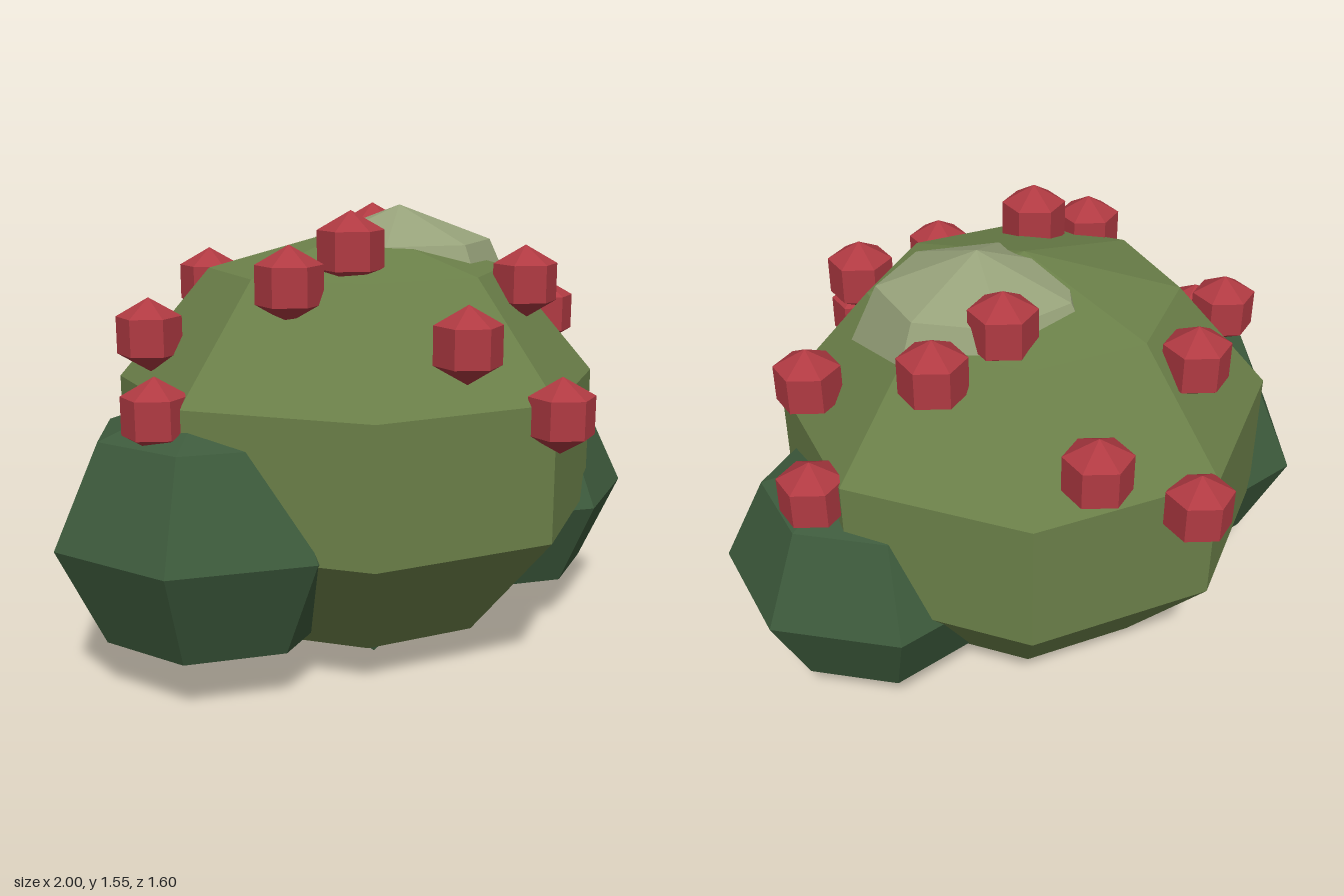
import * as THREE from 'three';

const material = (name, color) => {
  const m = new THREE.MeshStandardMaterial({ color });
  m.name = name;
  return m;
};

// Faceted version of a geometry: every face gets its own normal
function faceted(geometry) {
  const g = geometry.toNonIndexed();
  g.computeVertexNormals();
  return g;
}

// Low-poly ellipsoid with a corner pointing to +x
function blob(name, mat, sides, rings, radii, centre) {
  const g = new THREE.SphereGeometry(1, sides, rings);
  g.rotateY(Math.PI);
  g.scale(...radii);
  const mesh = new THREE.Mesh(faceted(g), mat);
  mesh.name = name;
  mesh.position.set(...centre);
  return mesh;
}

export function createModel() {
  const group = new THREE.Group();
  group.name = 'berryBush';

  const olive = material('olive leaves', 0x6b8049);
  const dark = material('dark green leaves', 0x3d5a3c);
  const pale = material('pale sage leaves', 0x97a27a);
  const red = material('berry red', 0xb03a42);

  // Foliage masses
  group.add(
    blob('mainFoliage', olive, 8, 5, [0.862, 0.736, 0.82], [-0.02, 0.738, -0.025]),
    blob('rightFoliage', dark, 7, 4, [0.533, 0.47, 0.512], [-0.52, 0.52, 0.297]),
    blob('leftFoliage', dark, 7, 4, [0.5, 0.432, 0.478], [0.5, 0.48, -0.305]),
    blob('topFoliage', pale, 7, 4, [0.45, 0.41, 0.41], [0.13, 1.125, -0.13])
  );

  // Three-cornered base whose corners just show below the foliage
  const base = new THREE.Mesh(faceted(new THREE.CylinderGeometry(0.32, 0.32, 0.1, 3)), dark);
  base.name = 'base';
  base.position.set(0.01, 0.12, -0.01);
  group.add(base);

  // Berries
  const berries = new THREE.Group();
  berries.name = 'berries';
  const spots = [
    [-0.53, 0.92, -0.645], [-0.21, 1.11, -0.71], [-0.54, 1.25, -0.335],
    [0.055, 1.405, -0.375], [0.265, 1.31, -0.485], [0.65, 0.915, -0.535],
    [0.67, 1.14, -0.25], [0.52, 1.3, 0.16], [-0.065, 1.425, 0.31],
    [-0.26, 1.33, 0.42], [-0.715, 1.14, 0.175], [-0.675, 0.94, 0.48],
    [0.27, 1.165, 0.585], [0.57, 0.935, 0.545],
  ];
  for (const p of spots) berries.add(blob('berry', red, 6, 3, [0.123, 0.122, 0.118], p));
  group.add(berries);

  return group;
}
